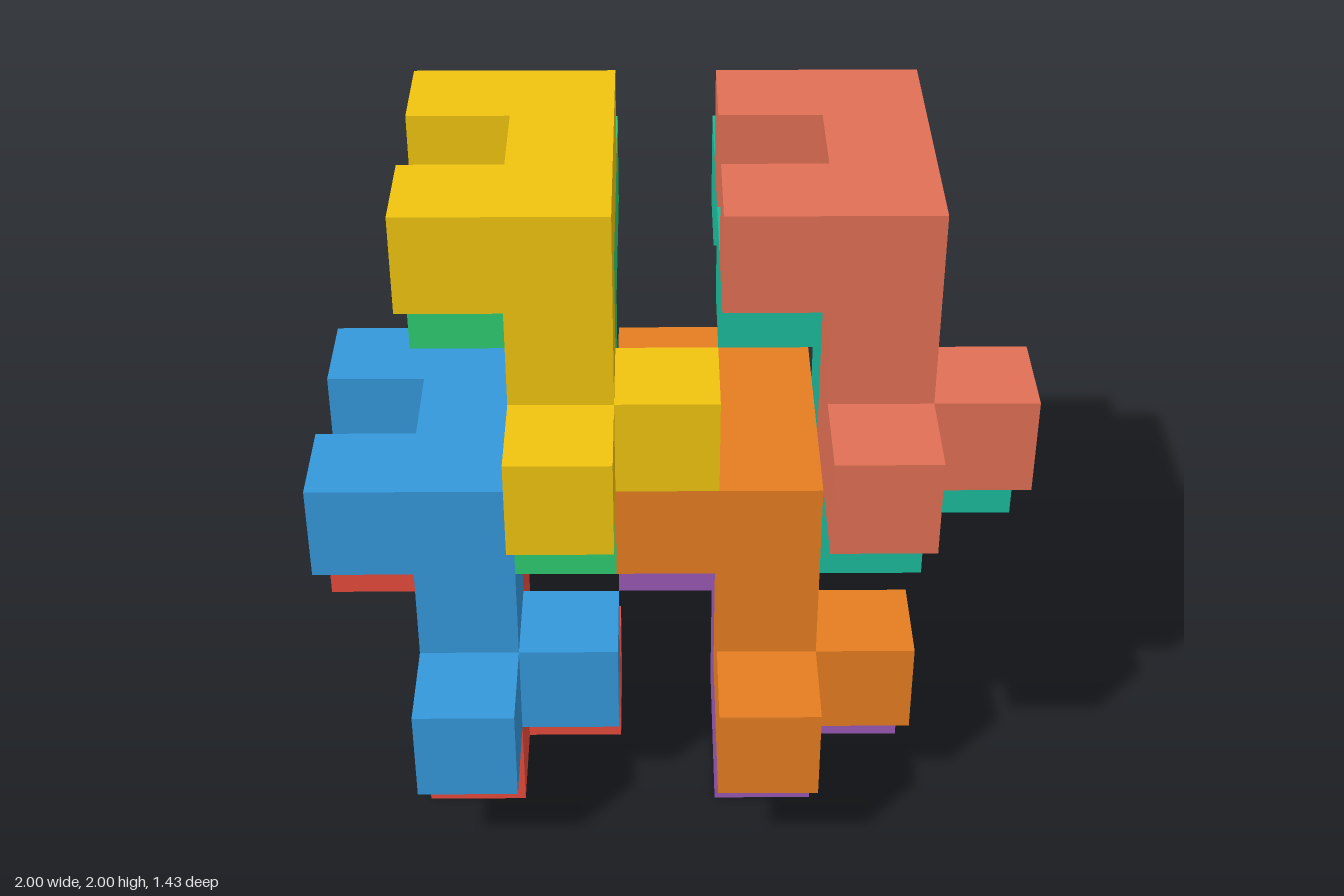
import * as THREE from 'three';

const U = 2 / 7; // edge of one cube cell

// Horizontal slab one cell thick from an [x, z] outline in cells
function slab(outline, level) {
  const shape = new THREE.Shape(outline.map(([x, z]) => new THREE.Vector2(x * U, -z * U)));
  const geo = new THREE.ExtrudeGeometry(shape, { depth: U, bevelEnabled: false });
  return geo.rotateX(-Math.PI / 2).translate(0, level * U, 0);
}

// Every piece is the same: a C-shaped hook, a one-cell stem and an L-shaped foot
const parts = {
  Hook: slab([[-1, -2], [1, -2], [1, 1], [-1, 1], [-1, 0], [0, 0], [0, -1], [-1, -1]], 0),
  Stem: slab([[0, 0], [1, 0], [1, 1], [0, 1]], -1),
  Foot: slab([[0, 0], [2, 0], [2, 1], [1, 1], [1, 2], [0, 2]], -2),
};

// Name, colour and the cell (x, y, z) where the stem meets the hook
const pieces = [
  ['coral', 0xe17055, 5, 6, 3],
  ['teal', 0x1abc9c, 5, 5, 2],
  ['yellow', 0xf1c40f, 2, 6, 3],
  ['green', 0x2ecc71, 2, 5, 2],
  ['orange', 0xe67e22, 4, 3, 3],
  ['purple', 0x9b59b6, 4, 2, 2],
  ['blue', 0x3498db, 1, 3, 3],
  ['red', 0xe74c3c, 1, 2, 2],
];

export function createModel() {
  const model = new THREE.Group();
  model.name = 'interlockingBlocks';
  for (const [name, color, x, y, z] of pieces) {
    const piece = new THREE.Group();
    piece.name = `${name}Piece`;
    const material = new THREE.MeshStandardMaterial({ color });
    for (const [part, geometry] of Object.entries(parts)) {
      const mesh = new THREE.Mesh(geometry, material);
      mesh.name = name + part;
      piece.add(mesh);
    }
    piece.position.set((x - 3.5) * U, y * U, (z - 2.5) * U);
    model.add(piece);
  }
  return model;
}
